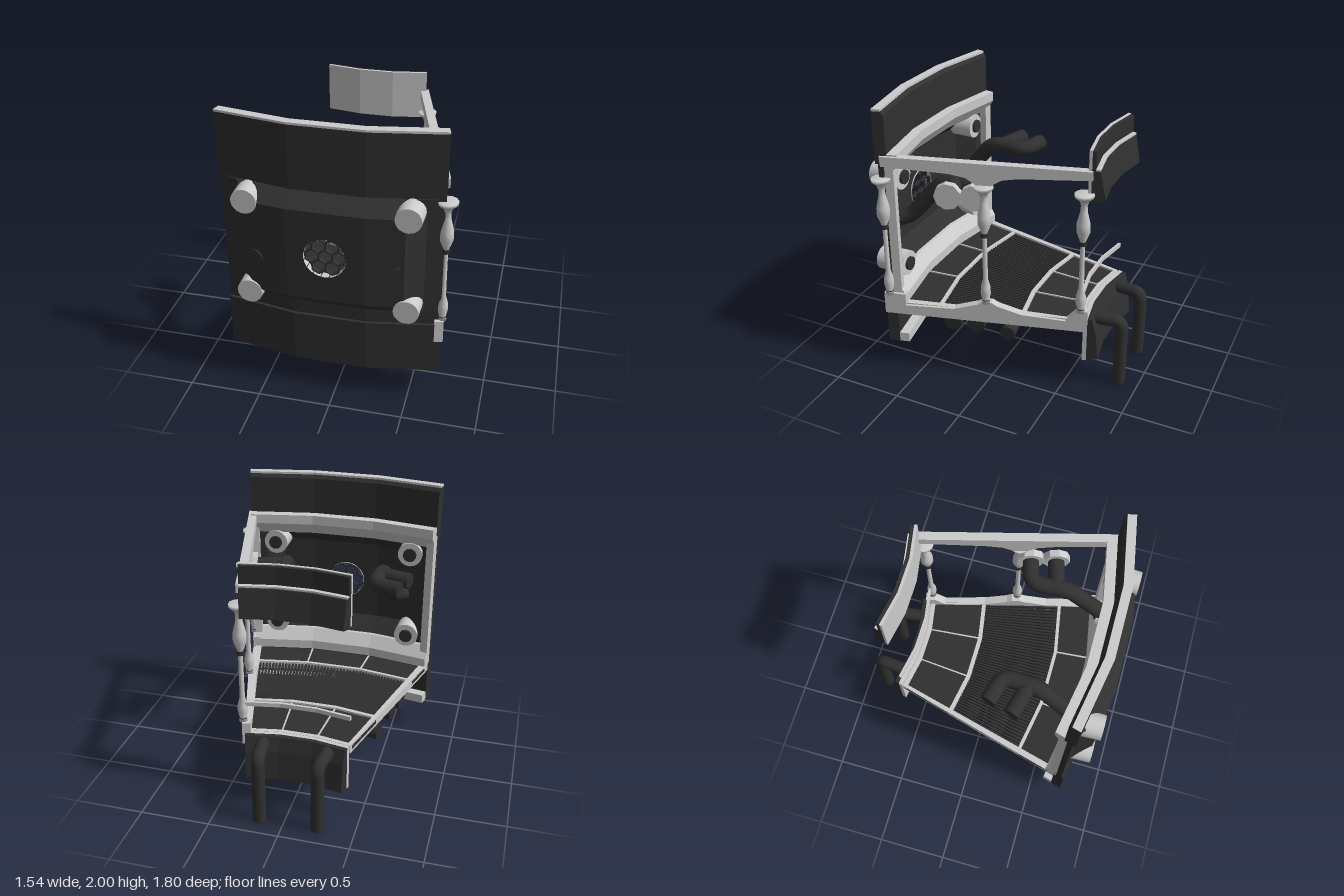
import * as THREE from 'three';

const CZ = -2.01;                       // all curved parts share this centre of curvature
const rad = THREE.MathUtils.degToRad;
const light = new THREE.MeshStandardMaterial({ color: 0xcccccc, side: THREE.DoubleSide });
const dark = new THREE.MeshStandardMaterial({ color: 0x303030, side: THREE.DoubleSide });
const ARC = [-15, -5, 5, 15];

function add(parent, name, geo, mat, x = 0, y = 0, z = 0) {
  const m = new THREE.Mesh(geo, mat);
  m.name = name;
  m.position.set(x, y, z);
  parent.add(m);
  return m;
}

// Sweeps a closed (radius, height) profile through a list of angles; one profile or one per angle
function sweep(profile, angles = ARC) {
  const profs = Array.isArray(profile[0][0]) ? profile : angles.map(() => profile);
  const flip = THREE.ShapeUtils.isClockWise(profs[0].map(p => new THREE.Vector2(...p)));
  const rings = profs.map((pr, k) => {
    const a = rad(angles[k]);
    const list = flip ? [...pr].reverse() : pr;
    return list.map(([r, y]) => [r * Math.sin(a), y, CZ + r * Math.cos(a)]);
  });
  const pos = [], n = rings[0].length;
  const tri = (...v) => v.forEach(p => pos.push(...p));
  for (let k = 0; k + 1 < rings.length; k++) {
    for (let i = 0; i < n; i++) {
      const j = (i + 1) % n, A = rings[k], B = rings[k + 1];
      tri(A[j], A[i], B[i]);
      tri(A[j], B[i], B[j]);
    }
  }
  [0, rings.length - 1].forEach((k, end) => {
    const list = flip ? [...profs[k]].reverse() : profs[k];
    const faces = THREE.ShapeUtils.triangulateShape(list.map(p => new THREE.Vector2(...p)), []);
    faces.forEach(([a, b, c]) => end ? tri(rings[k][a], rings[k][c], rings[k][b]) : tri(rings[k][a], rings[k][b], rings[k][c]));
  });
  const g = new THREE.BufferGeometry();
  g.setAttribute('position', new THREE.Float32BufferAttribute(pos, 3));
  g.computeVertexNormals();
  return g;
}
const band = (r0, r1, y0, y1, angles) => sweep([[r0, y0], [r1, y0], [r1, y1], [r0, y1]], angles);

// Round pipe through points, with rounded corners and closed ends
function pipe(parent, name, pts, r, mat = dark, bend = 0.08) {
  const v = pts.map(p => new THREE.Vector3(...p));
  const path = new THREE.CurvePath();
  let from = v[0];
  for (let i = 1; i < v.length - 1; i++) {
    const a = v[i].clone().add(v[i - 1].clone().sub(v[i]).setLength(bend));
    const b = v[i].clone().add(v[i + 1].clone().sub(v[i]).setLength(bend));
    path.add(new THREE.LineCurve3(from, a));
    path.add(new THREE.QuadraticBezierCurve3(a, v[i], b));
    from = b;
  }
  path.add(new THREE.LineCurve3(from, v[v.length - 1]));
  add(parent, name, new THREE.TubeGeometry(path, 48, r, 16), mat);
  [[v[0], v[1]], [v[v.length - 1], v[v.length - 2]]].forEach(([end, next]) => {
    const cap = add(parent, name + 'End', new THREE.CircleGeometry(r, 16), mat, end.x, end.y, end.z);
    cap.lookAt(end.clone().multiplyScalar(2).sub(next));
  });
}

function frontWall(g) {
  // Upper and lower panels with inward lips
  add(g, 'upperPanel', sweep([[2.76, 1.62], [2.84, 1.62], [2.84, 1.985], [2.78, 1.985], [2.76, 1.96]]), dark);
  add(g, 'upperPanelTrim', band(2.78, 2.84, 1.985, 2), light);
  add(g, 'upperLip', band(2.69, 2.76, 1.62, 1.69), light);
  add(g, 'lowerPanel', band(2.76, 2.84, 0.22, 0.6), dark);
  add(g, 'lowerLip', band(2.69, 2.76, 0.22, 0.29), light);
  // Middle panel around the raised cover
  add(g, 'middlePanelTop', band(2.78, 2.82, 1.54, 1.62), dark);
  add(g, 'middlePanelBottom', band(2.78, 2.82, 0.6, 0.7), dark);
  // Inner frame
  add(g, 'innerFrameTop', sweep([[2.69, 1.62], [2.78, 1.62], [2.78, 1.53], [2.755, 1.53]]), light);
  add(g, 'innerFrameBottom', sweep([[2.69, 0.55], [2.78, 0.55], [2.78, 0.71], [2.755, 0.71], [2.69, 0.62]]), light);
  // Raised cover: sloped sides, and a flat centre with a round opening
  const full = [[2.82, 0.7], [2.92, 0.8], [2.92, 1.45], [2.82, 1.54], [2.78, 1.54], [2.88, 1.43], [2.88, 0.82], [2.78, 0.7]];
  const flat = full.map(([r, y], i) => [i < 4 ? 2.82 : 2.78, y]);
  add(g, 'coverLeft', sweep([full, full, flat], [5, 10, 12.65]), dark);
  add(g, 'coverRight', sweep([flat, full, full], [-12.65, -10, -5]), dark);
  add(g, 'coverTop', sweep([full[2], full[3], full[4], full[5]].map(p => [...p]), [-5, 5]), dark);
  add(g, 'coverBottom', sweep([full[0], full[1], full[6], full[7]].map(p => [...p]), [-5, 5]), dark);
  const w = 2.92 * Math.sin(rad(5)), zc = CZ + 2.92 * Math.cos(rad(5));
  const face = new THREE.Shape([[-w, 0.8], [w, 0.8], [w, 1.45], [-w, 1.45]].map(p => new THREE.Vector2(...p)));
  face.holes.push(new THREE.Path().absarc(0, 1.12, 0.14, 0, Math.PI * 2, true));
  add(g, 'coverCentre', new THREE.ExtrudeGeometry(face, { depth: 0.04, bevelEnabled: false, curveSegments: 24 }), dark, 0, 0, zc - 0.04);
  const ring = add(g, 'grilleRing', new THREE.CylinderGeometry(0.14, 0.14, 0.05, 32, 1, true), light, 0, 1.12, zc - 0.025);
  ring.rotation.x = Math.PI / 2;
  // Honeycomb grille, three bars per cell
  const cell = 0.088, side = cell / Math.sqrt(3);
  for (let row = -3; row <= 3; row++) for (let col = -3; col <= 3; col++) for (let k = 0; k < 3; k++) {
    const a = k * Math.PI / 3;
    const x = (col + (row & 1) / 2) * cell + Math.cos(a) * cell / 2;
    const y = row * side * 1.5 + Math.sin(a) * cell / 2;
    if (Math.hypot(x, y) > 0.135) continue;
    add(g, 'grilleBar', new THREE.BoxGeometry(0.009, side, 0.03), dark, x, 1.12 + y, zc - 0.03).rotation.z = a;
  }
  for (const s of [-1, 1]) {
    const span = (a, b) => s > 0 ? [a, b] : [-b, -a];
    add(g, 'middlePanelSide', band(2.78, 2.82, 0.7, 1.54, span(12.65, 15)), dark);
    add(g, 'innerFrameSide', band(2.72, 2.78, 0.6, 1.62, span(13.8, 15)), light);
    // Corner bosses, with collars on the inside
    for (const y of [0.775, 1.455]) {
      add(g, 'cornerBoss', new THREE.CylinderGeometry(0.085, 0.092, 0.22, 20), light, s * 0.525, y, 0.77).rotation.x = Math.PI / 2;
      add(g, 'bossCore', new THREE.CylinderGeometry(0.05, 0.05, 0.03, 16), dark, s * 0.525, y, 0.655).rotation.x = Math.PI / 2;
    }
    // Feed pipe from the cover, splitting towards the side
    pipe(g, 'feedPipe', [[s * 0.475, 1.05, 0.86], [s * 0.4, 1.1, 0.69], [s * 0.37, 1.41, 0.43], [s * 0.35, 1.41, 0.16], [s * 0.545, 1.41, 0.11]], 0.057);
    pipe(g, 'branchPipe', [[s * 0.37, 1.41, 0.34], [s * 0.59, 1.41, 0.28]], 0.057);
  }
  for (const [x, z] of [[0.53, 0.114], [0.575, 0.284]]) {
    const f = add(g, 'pipeFlange', new THREE.CylinderGeometry(0.095, 0.095, 0.05, 9).toNonIndexed(), light, x, 1.41, z);
    f.geometry.computeVertexNormals();
    f.rotation.set(0, rad(15), Math.PI / 2);
  }
}

function floor(g) {
  add(g, 'floorPanelRear', band(1.47, 1.84, 0.51, 0.54), dark);
  add(g, 'floorPanelFront', band(2.46, 2.7, 0.51, 0.54), dark);
  for (const [r, w] of [[1.455, 0.03], [1.855, 0.03], [2.45, 0.025]])
    add(g, 'floorBand', band(r - w / 2, r + w / 2, 0.49, 0.555), light);
  for (const a of [-5, 5]) {
    add(g, 'rearDivider', band(1.46, 1.85, 0.5, 0.55, [a - 0.17, a + 0.17]), light);
    add(g, 'frontDivider', band(2.45, 2.7, 0.5, 0.55, [a - 0.12, a + 0.12]), light);
  }
  for (const [a, b] of [[-15, -14], [14, 15]]) add(g, 'floorEdge', band(1.44, 2.76, 0.49, 0.555, [a, b]), light);
  for (let i = 0; i < 46; i++) {
    const a = -13.8 + i * 27.6 / 45;
    add(g, 'gratingBar', band(1.86, 2.45, 0.515, 0.54, [a - 0.17, a + 0.17]), dark);
  }
  // Curved pipes below the grating
  for (const [r, y, t] of [[2.37, 0.4, 0.065], [2.2, 0.4, 0.065], [1.97, 0.35, 0.056]]) {
    const pts = [-14, -7, 0, 7, 14].map(a => [r * Math.sin(rad(a)), y, CZ + r * Math.cos(rad(a))]);
    pipe(g, 'underfloorPipe', pts, t);
  }
}

// Side frame, drawn along the radius and turned onto the left edge
function sideFrame(g) {
  const wall = new THREE.Group();
  wall.name = 'sideFrame';
  wall.position.z = CZ;
  wall.rotation.y = rad(-75);
  g.add(wall);
  const beam = (name, pts) => {
    const s = new THREE.Shape(pts.map(p => new THREE.Vector2(...p)));
    add(wall, name, new THREE.ExtrudeGeometry(s, { depth: 0.06, bevelEnabled: false }), light, 0, 0, -0.02);
  };
  beam('topBeam', [[1.4, 1.68], [2.805, 1.68], [2.8, 1.61], [2.34, 1.595], [2.23, 1.575], [2.16, 1.53], [2.06, 1.53], [1.99, 1.575], [1.88, 1.595], [1.4, 1.62]]);
  beam('bottomBeam', [[1.4, 0.47], [2.845, 0.47], [2.845, 0.635], [2.69, 0.635], [2.69, 0.545], [2.34, 0.555], [2.17, 0.61], [2.13, 0.635], [2.07, 0.635],
    [2.03, 0.61], [1.86, 0.56], [1.55, 0.545], [1.5, 0.6], [1.47, 0.635], [1.4, 0.635]]);
  const profile = [[0, 0.63], [0.03, 0.63], [0.025, 0.66], [0.036, 0.71], [0.034, 0.76], [0.018, 0.82], [0.016, 1.15], [0.02, 1.18], [0.046, 1.25],
    [0.046, 1.31], [0.024, 1.4], [0.022, 1.44], [0.032, 1.475], [0.066, 1.505], [0.066, 1.525], [0, 1.525]].map(p => new THREE.Vector2(...p));
  for (const r of [2.805, 2.11, 1.45]) {
    add(wall, 'column', new THREE.LatheGeometry(profile, 12), light, r, 0, -0.012);
    for (const y of [0.645, 1.165]) add(wall, 'columnRing', new THREE.CylinderGeometry(0.026, 0.026, 0.03, 12), dark, r, y, -0.012);
  }
}

function rearWall(g) {
  // Upper and lower panels, each with a sloped block on the back
  add(g, 'rearUpperFace', band(1.41, 1.43, 1.47, 1.82), light);
  add(g, 'rearUpperBack', band(1.385, 1.41, 1.47, 1.815), dark);
  add(g, 'rearUpperBlock', sweep([[1.385, 1.68], [1.355, 1.675], [1.315, 1.48], [1.385, 1.46]]), dark);
  add(g, 'rearUpperTrim', band(1.355, 1.385, 1.68, 1.692), light);
  add(g, 'rearLowerFace', band(1.4, 1.43, 0.22, 0.56), light);
  add(g, 'rearLowerBlock', sweep([[1.4, 0.56], [1.37, 0.56], [1.34, 0.45], [1.318, 0.24], [1.4, 0.22]]), dark);
  add(g, 'rearRail', band(1.43, 1.45, 0.76, 0.79), light);
  // Drain pipes
  for (const s of [-1, 1]) pipe(g, 'drainPipe', [[s * 0.235, 0.51, -0.62], [s * 0.208, 0.51, -0.858], [s * 0.208, 0, -0.858]], 0.047, dark, 0.06);
}

export function createModel() {
  const model = new THREE.Group();
  model.name = 'curvedWallSegment';
  const body = new THREE.Group();
  body.name = 'body';
  body.position.x = -0.035;
  model.add(body);
  frontWall(body);
  floor(body);
  sideFrame(body);
  rearWall(body);
  return model;
}
